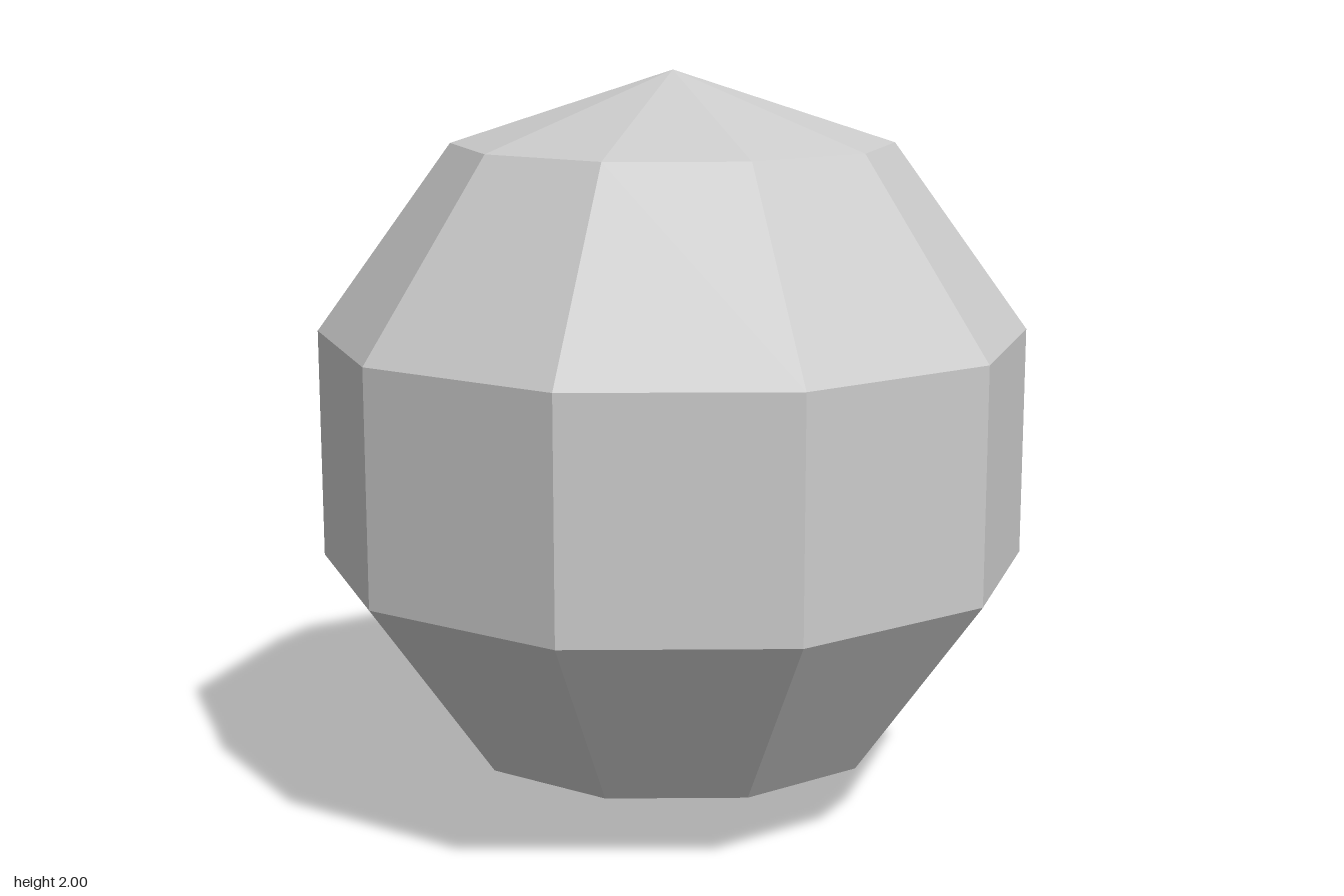
import * as THREE from 'three';

export function createModel() {
  const group = new THREE.Group();
  group.name = 'facetedBall';

  // Low-poly ball: ten sides around, five bands from pole to pole
  const material = new THREE.MeshStandardMaterial({ color: 0xcccccc, flatShading: true });
  const ball = new THREE.Mesh(new THREE.SphereGeometry(1, 10, 5), material);
  ball.name = 'ball';
  ball.position.y = 1;
  group.add(ball);

  return group;
}
